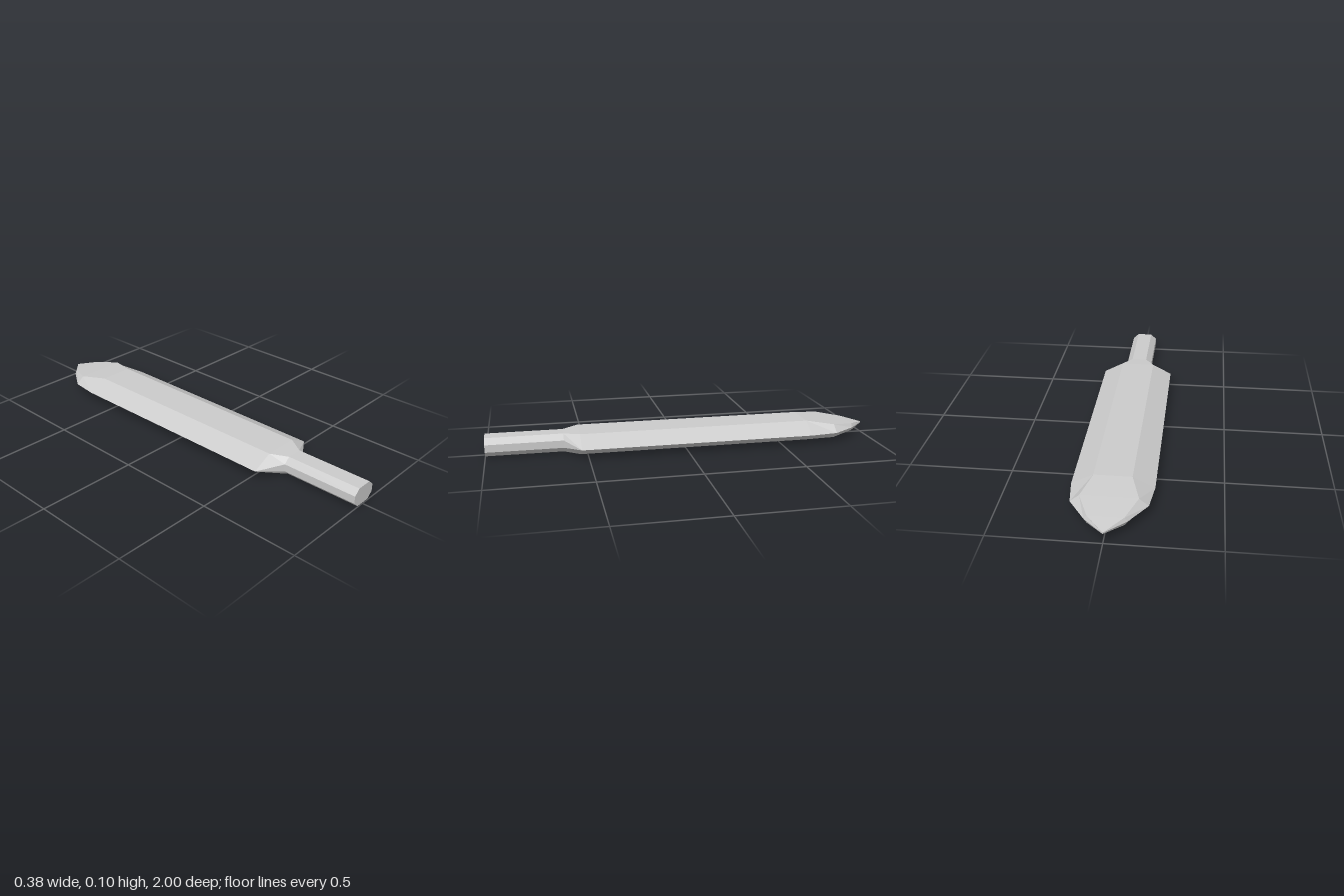
import * as THREE from 'three';

const MID = 0.053;

// Eight-sided section, counter-clockwise seen from the front:
// z, half width, half height of the side edge, half width of the flat, half thickness
function ring([z, w, e, f, t]) {
  return [[w, -e], [w, e], [f, t], [-f, t], [-w, e], [-w, -e], [-f, -t], [f, -t]]
    .map(([x, y]) => new THREE.Vector3(x, MID + y, z));
}

// Faceted skin through sections listed from back to front
function loft(name, sections, material, capFront = false) {
  const rings = sections.map(ring);
  const points = [];
  const triangle = (a, b, c) => {
    if (new THREE.Triangle(a, b, c).getArea() > 1e-7) points.push(a, b, c);
  };
  for (let i = 0; i < rings.length - 1; i++) {
    for (let j = 0; j < 8; j++) {
      const k = (j + 1) % 8;
      const [a, b, c, d] = [rings[i][j], rings[i][k], rings[i + 1][k], rings[i + 1][j]];
      triangle(a, b, c);
      triangle(a, c, d);
    }
  }
  if (capFront) {
    const last = rings[rings.length - 1];
    for (let j = 1; j < 7; j++) triangle(last[0], last[j], last[j + 1]);
  }
  const geometry = new THREE.BufferGeometry().setFromPoints(points);
  geometry.computeVertexNormals();
  const mesh = new THREE.Mesh(geometry, material);
  mesh.name = name;
  return mesh;
}

export function createModel() {
  const group = new THREE.Group();
  group.name = 'chisel';
  const material = new THREE.MeshStandardMaterial({ color: 0xcccccc, flatShading: true });

  const bladeBack = [-0.65, 0.19, 0, 0.088, 0.052];
  const bladeFront = [0.535, 0.19, 0, 0.088, 0.052];
  const gripBack = [0.615, 0.07, 0.019, 0.04, 0.047];
  const gripFront = [1, 0.07, 0.019, 0.04, 0.047];

  // Tapered, pointed tip
  group.add(loft('tip', [
    [-1, 0, 0, 0, 0.003],
    [-0.91, 0.093, 0, 0.08, 0.019],
    [-0.79, 0.173, 0, 0.13, 0.035],
    bladeBack,
  ], material));

  // Long hexagonal blade
  group.add(loft('blade', [bladeBack, bladeFront], material));

  // Sloping shoulder down to the handle
  group.add(loft('shoulder', [bladeFront, gripBack], material));

  // Octagonal handle with a closed end
  group.add(loft('handle', [gripBack, gripFront], material, true));

  return group;
}
